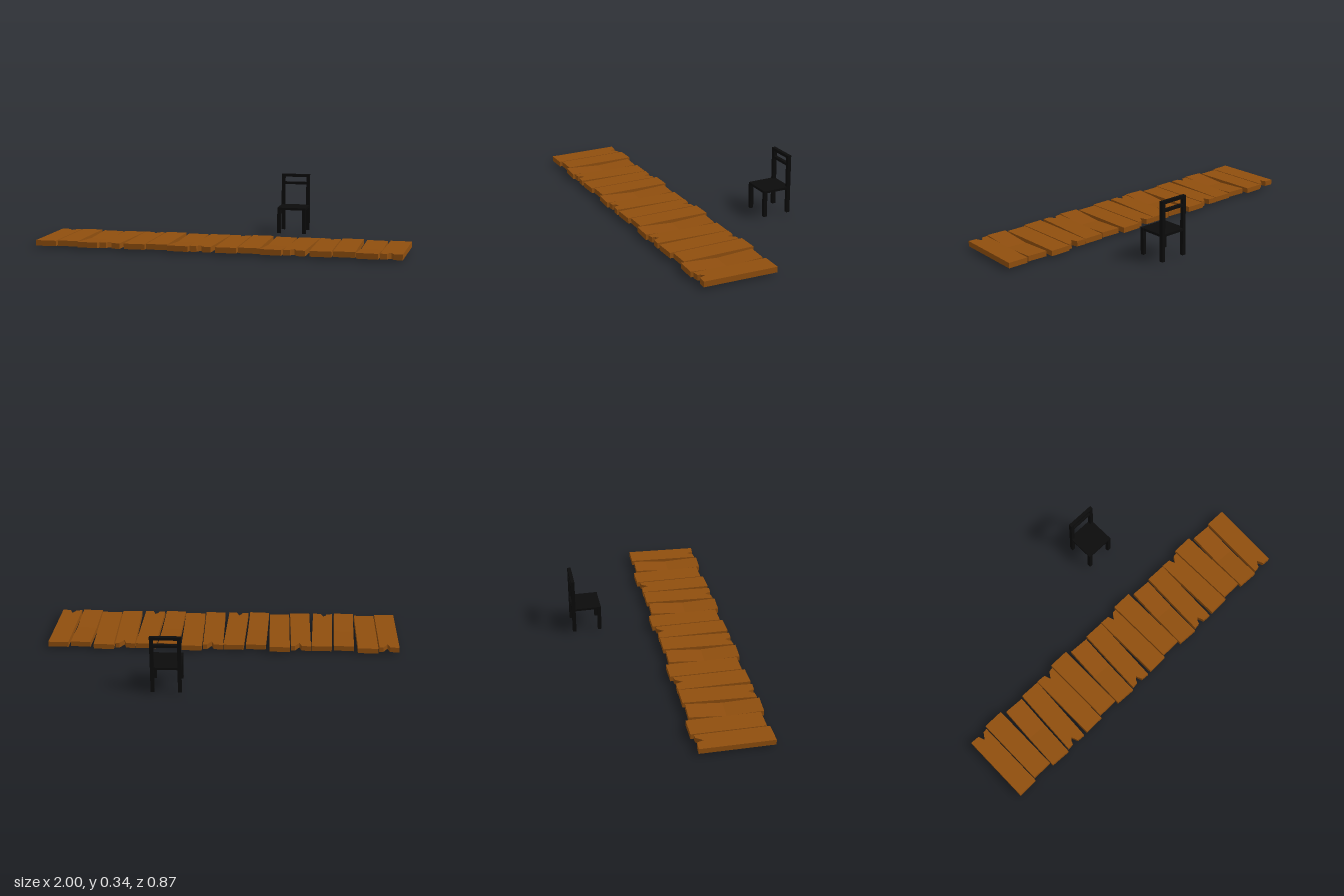
import * as THREE from 'three';

const wood = new THREE.MeshStandardMaterial({ color: 0x8f4e0e, flatShading: true });
const black = new THREE.MeshStandardMaterial({ color: 0x0b0b0b, flatShading: true });
const BOTTOM = 0.013, THICK = 0.03;

// Flat board cut from an outline of [x, z] corners
function cutBoard(outline) {
  const shape = new THREE.Shape(outline.map(([x, z]) => new THREE.Vector2(x, -z)));
  const geo = new THREE.ExtrudeGeometry(shape, { depth: THICK, bevelEnabled: false });
  return geo.rotateX(-Math.PI / 2).translate(0, BOTTOM, 0);
}

// Skewed board that sags in the middle
function saggingBoard() {
  const geo = new THREE.BoxGeometry(0.113, THICK, 0.395, 1, 1, 2);
  const p = geo.attributes.position;
  for (let i = 0; i < p.count; i++) {
    const z = p.getZ(i);
    const sag = 0.012 * (1 - Math.abs(z) / 0.1975);
    p.setXYZ(i, p.getX(i) + 0.306 - z * 0.05, p.getY(i) + BOTTOM + THICK / 2 - sag, z + 0.233 - p.getX(i) * 0.05 * -1);
  }
  geo.computeVertexNormals();
  return geo;
}

export function createModel() {
  const model = new THREE.Group();

  // Walkway: four different boards, repeated four times
  const boards = {
    notchedBoard: cutBoard([[0.003, 0.027], [0.055, 0.03], [0.067, 0.067], [0.085, 0.04], [0.093, 0.03],
      [0.116, 0.028], [0.114, 0.424], [0, 0.426]]),
    straightBoard: cutBoard([[0.123, 0.012], [0.238, 0.012], [0.235, 0.409], [0.12, 0.409]]),
    saggingBoard: saggingBoard(),
    splitBoard: cutBoard([[0.385, 0.028], [0.5, 0.03], [0.477, 0.428], [0.432, 0.425], [0.418, 0.39],
      [0.403, 0.405], [0.398, 0.42], [0.363, 0.424]]),
  };
  const walkway = new THREE.Group();
  walkway.name = 'walkway';
  for (let k = 0; k < 4; k++) {
    for (const [name, geo] of Object.entries(boards)) {
      const board = new THREE.Mesh(geo, wood);
      board.name = name;
      board.position.x = -1 + k * 0.5;
      walkway.add(board);
    }
  }
  model.add(walkway);

  // Chair, centred over its seat
  const chair = new THREE.Group();
  chair.name = 'chair';
  chair.position.set(0.289, 0, -0.356);
  const bar = (name, w, h, d, x, y, z) => {
    const mesh = new THREE.Mesh(new THREE.BoxGeometry(w, h, d), black);
    mesh.name = name;
    mesh.position.set(x, y, z);
    chair.add(mesh);
  };
  const half = 0.073, leg = 0.02;
  for (const side of [-1, 1]) {
    bar('frontLeg', leg, 0.15, leg, side * half, 0.085, half);
    bar('backPost', leg, 0.331, leg, side * half, 0.1755, -half);
  }
  bar('seat', 0.165, 0.013, 0.165, 0, 0.1535, 0);
  bar('topRail', 0.146, 0.016, leg, 0, 0.333, -half);
  bar('backRail', 0.146, 0.014, leg, 0, 0.288, -half);
  model.add(chair);

  return model;
}
